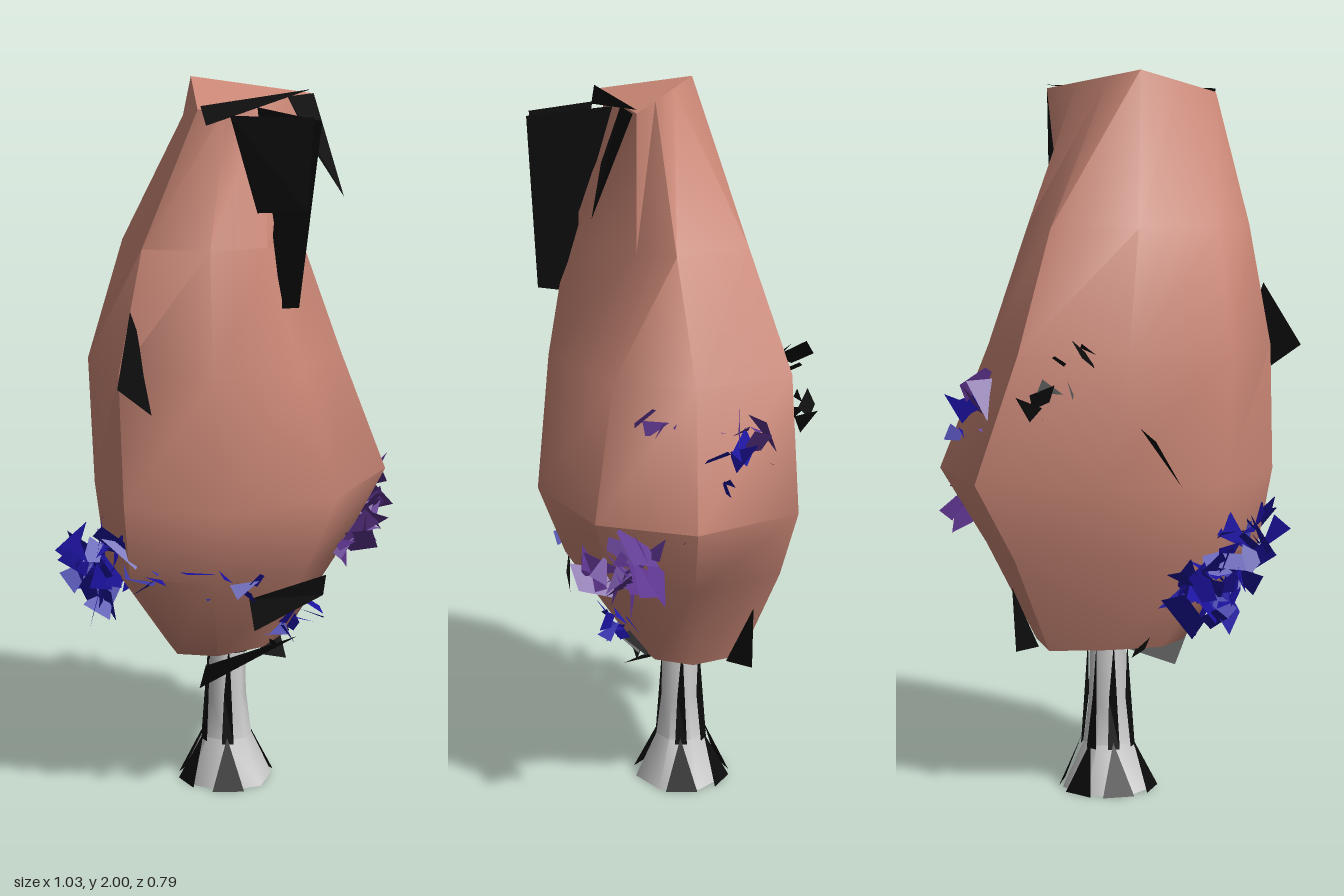
import * as THREE from 'three';
import { toCreasedNormals } from 'three/addons/utils/BufferGeometryUtils.js';

const paint = (color) => new THREE.MeshStandardMaterial({ color, side: THREE.DoubleSide });
const corner = (x, y, z) => new THREE.Vector3(x, y, z);
const SIDES = 8;

function seeded(seed) {
  let s = seed;
  return () => (s = (s * 16807) % 2147483647) / 2147483647;
}

// Eight-sided elliptical rings, given by their extents, closing on a three-cornered tip
function crownGeometry(rings, [left, right, back]) {
  const points = [], idx = [];
  for (const [y, x0, x1, z0, z1, groove] of rings) {
    for (let j = 0; j < SIDES; j++) {
      const a = j * Math.PI * 2 / SIDES;
      const p = corner((x0 + x1) / 2 + Math.cos(a) * (x1 - x0) / 2, y, (z0 + z1) / 2 + Math.sin(a) * (z1 - z0) / 2);
      if (j === 1) p.z -= groove; // fold down the front
      if (j === 2) p.x -= groove;
      if (j === 7) p.add(corner(0.02, 0, -0.05)); // fuller back left
      points.push(p);
    }
  }
  const between = (a, b, t) => a.clone().lerp(b, t);
  points.push(between(back, left, 0.67), left, between(left, right, 0.4), between(left, right, 0.75),
    right, between(right, back, 0.5), back, between(back, left, 0.33));
  const top = rings.length * SIDES;
  for (let r = 0; r < top; r += SIDES) {
    for (let j = 0; j < SIDES; j++) {
      const a = r + j, b = r + (j + 1) % SIDES;
      idx.push(a, a + SIDES, b, b, a + SIDES, b + SIDES);
    }
  }
  for (let j = 1; j < SIDES - 1; j++) idx.push(0, j, j + 1);
  idx.push(top + 1, top + 6, top + 4);
  const g = new THREE.BufferGeometry().setFromPoints(points);
  g.setIndex(idx);
  return toCreasedNormals(g, 0.95);
}

// Flat polygons, each a list of corners, drawn as fans
function polygons(list) {
  const points = [];
  for (const p of list) {
    for (let i = 1; i < p.length - 1; i++) points.push(p[0], p[i], p[i + 1]);
  }
  const g = new THREE.BufferGeometry().setFromPoints(points);
  g.computeVertexNormals();
  return g;
}

// Pointed leaves scattered along the line between two points
function scatter(from, to, count, size, seed) {
  const rnd = seeded(seed), list = [];
  const r = () => rnd() * 2 - 1;
  for (let i = 0; i < count; i++) {
    const c = from.clone().lerp(to, (i + rnd()) / count);
    c.add(corner(r(), r(), r()).multiplyScalar(size * 0.7));
    const u = corner(r(), r(), r()).normalize();
    const v = corner(r(), r(), r()).cross(u).normalize();
    const s = size * (0.5 + 0.5 * rnd());
    const at = (p, q) => c.clone().addScaledVector(u, p * s).addScaledVector(v, q * s);
    const leaf = [at(-1, 0.4), at(0.8, 0.5), at(0.6, -0.5)];
    if (i % 2) leaf.push(at(-0.6, -0.5));
    list.push(leaf);
  }
  return polygons(list);
}

export function createModel() {
  const tree = new THREE.Group();
  const add = (name, geometry, material) => {
    const mesh = new THREE.Mesh(geometry, material);
    mesh.name = name;
    tree.add(mesh);
    return mesh;
  };
  const bark = paint(0xcccccc), foliage = paint(0xcc8877), black = paint(0x0b0b0b);
  const blue = paint(0x1c12a0), purple = paint(0x5e3590);

  // Trunk with a flared foot
  const profile = [[0, 0], [0.13, 0], [0.07, 0.13], [0.055, 0.25], [0.05, 0.47]];
  const trunkShape = new THREE.LatheGeometry(profile.map(([x, y]) => new THREE.Vector2(x, y)), 7);
  const trunk = add('trunk', toCreasedNormals(trunkShape, 0.9), bark);
  trunk.position.set(0.03, 0, -0.01);

  // Dark root flaps around the foot, each with a strip running up the trunk
  const roots = [0.2, 2.4, 3.5, 4.5, 5.4].flatMap((angle) => {
    const at = (radius, y, t) => corner(radius * Math.cos(angle + t), y, radius * Math.sin(angle + t));
    return [
      [at(0.14, 0, -0.35), at(0.14, 0, 0.3), at(0.075, 0.14, 0)],
      [at(0.076, 0.12, -0.25), at(0.076, 0.12, 0.2), at(0.057, 0.26, 0.15), at(0.056, 0.42, -0.1)],
    ];
  });
  const flaps = add('rootFlaps', polygons(roots), black);
  flaps.position.copy(trunk.position);

  // Crown: height, x range, z range, groove depth
  add('crown', crownGeometry([
    [0.42, -0.18, 0.23, -0.14, 0.13, 0],
    [0.69, -0.39, 0.37, -0.27, 0.31, 0],
    [0.9, -0.43, 0.5, -0.31, 0.39, 0],
    [1.25, -0.42, 0.36, -0.31, 0.34, 0.03],
    [1.58, -0.36, 0.25, -0.18, 0.27, 0.07],
  ], [corner(0.2, 1.95, 0.14), corner(-0.27, 1.94, 0.16), corner(-0.06, 2, -0.06)]), foliage);

  // Large dark leaves at the tip, on the right, at the back and below
  add('largeDarkLeaves', polygons([
    [corner(-0.18, 1.92, 0.19), corner(-0.07, 1.92, 0.38), corner(-0.08, 1.68, 0.37), corner(-0.14, 1.67, 0.25)],
    [corner(-0.04, 1.93, 0.16), corner(-0.05, 1.91, 0.39), corner(-0.1, 1.43, 0.36), corner(-0.1, 1.42, 0.3)],
    [corner(0.08, 1.95, 0.16), corner(0.2, 1.95, 0.15), corner(0.2, 1.68, 0.26), corner(0.12, 1.81, 0.22)],
    [corner(-0.27, 1.95, 0.17), corner(0.2, 1.96, 0.14), corner(-0.26, 1.9, 0.18)],
    [corner(-0.51, 1.24, 0.1), corner(-0.4, 1.42, 0.04), corner(-0.3, 1.09, 0.1)],
    [corner(-0.17, 0.9, -0.28), corner(-0.1, 1.04, -0.4), corner(-0.06, 1.06, -0.3)],
    [corner(-0.19, 0.64, 0.27), corner(0.07, 0.66, 0.32), corner(0.07, 0.6, 0.31), corner(-0.18, 0.55, 0.28)],
    [corner(-0.2, 0.42, 0.12), corner(-0.16, 0.33, 0.06), corner(0.16, 0.42, 0.14)],
    [corner(0.22, 0.42, -0.1), corner(0.28, 0.42, -0.16), corner(0.29, 0.6, -0.16)],
  ]), black);

  // Small leaf clusters around the crown
  const cluster = (name, material, from, to, count, size) =>
    add(name, scatter(corner(...from), corner(...to), count, size, 100 + count * 37), material);
  cluster('backBlueLeaves', blue, [-0.35, 0.7, -0.19], [-0.2, 0.57, -0.26], 40, 0.08);
  cluster('rightBlueLeaves', blue, [-0.41, 0.77, -0.1], [-0.2, 0.66, 0.27], 28, 0.07);
  cluster('lowerBlueLeaves', blue, [0.03, 0.5, 0.19], [0.15, 0.5, 0.18], 10, 0.055);
  cluster('leftBlueLeaves', blue, [0.47, 0.9, 0.02], [0.36, 1.17, -0.08], 8, 0.075);
  cluster('leftPurpleLeaves', purple, [0.43, 0.82, 0.16], [0.26, 0.68, 0.25], 30, 0.085);
  cluster('upperPurpleLeaves', purple, [0.32, 1.15, 0.13], [0.34, 1.08, -0.2], 26, 0.075);
  cluster('backDarkLeaves', black, [0.1, 1.28, -0.3], [0.22, 1.1, -0.28], 8, 0.06);
  cluster('lowerDarkLeaves', black, [-0.1, 0.45, -0.1], [0.1, 0.45, 0.12], 14, 0.07);

  return tree;
}
